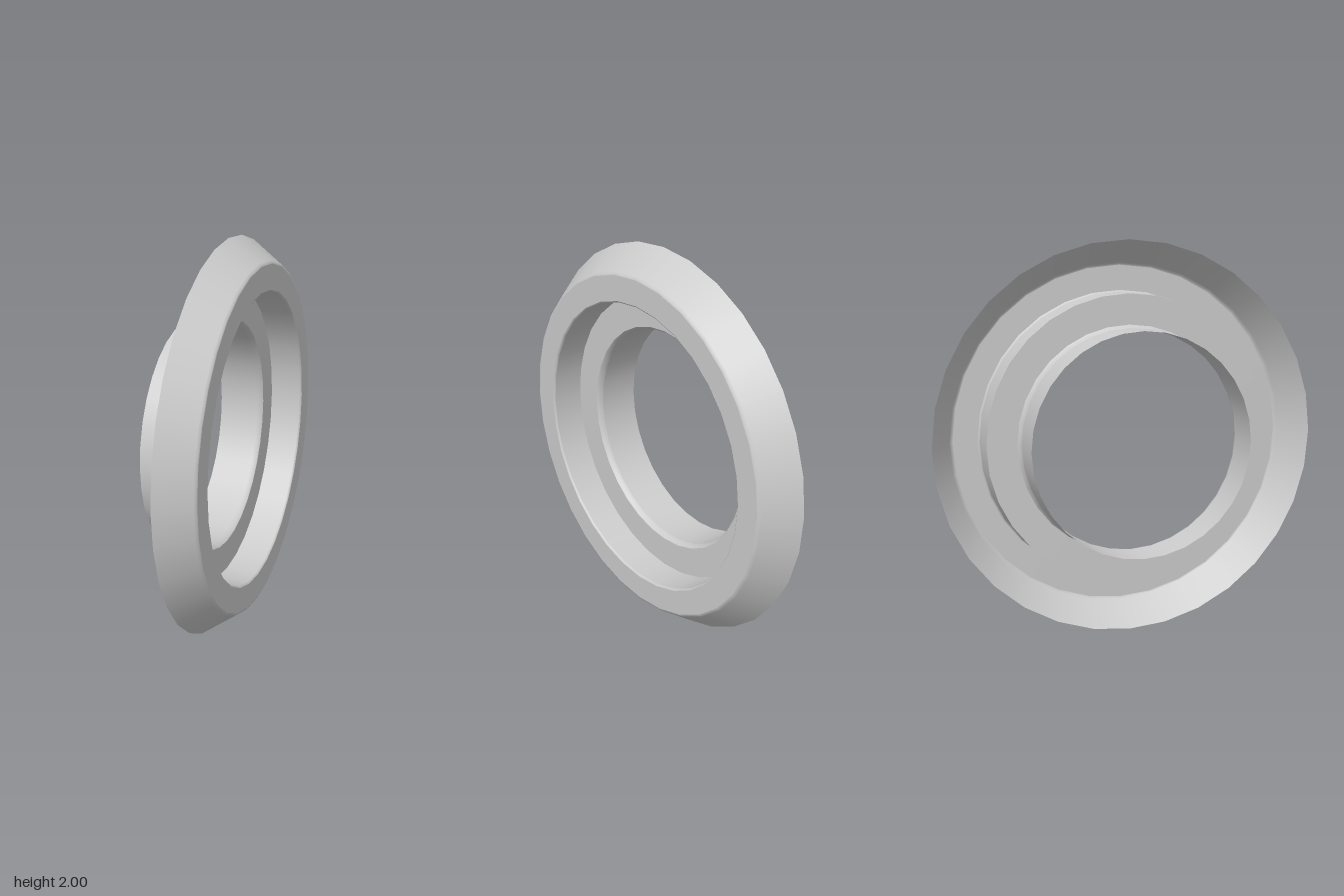
import * as THREE from 'three';

const SEGMENTS = 32;

export function createModel() {
  const model = new THREE.Group();
  model.name = 'steppedFlangeRing';
  const material = new THREE.MeshStandardMaterial({ color: 0xcccccc, side: THREE.DoubleSide });

  // Each band is a thin sheet turned about the x axis; points are [radius, x]
  const bands = {
    collarTube: [[0.565, -0.205], [0.565, 0.0]],
    collarFlare: [[0.565, 0.0], [0.569, 0.018], [0.58, 0.03]],
    innerDisc: [[0.58, 0.03], [0.735, 0.03]],
    stepWall: [[0.735, 0.03], [0.737, 0.19]],
    stepLip: [[0.737, 0.19], [0.739, 0.196], [0.745, 0.2]],
    frontFace: [[0.745, 0.2], [0.872, 0.2]],
    faceEdge: [[0.872, 0.2], [0.881, 0.197], [0.888, 0.188]],
    outerBevel: [[0.888, 0.188], [1.0, 0.033]],
  };

  for (const [name, points] of Object.entries(bands)) {
    const profile = points.map(([r, x]) => new THREE.Vector2(r, x));
    const geometry = new THREE.LatheGeometry(profile, SEGMENTS);
    geometry.rotateZ(-Math.PI / 2).translate(0, 1, 0);
    const mesh = new THREE.Mesh(geometry, material);
    mesh.name = name;
    model.add(mesh);
  }
  return model;
}
